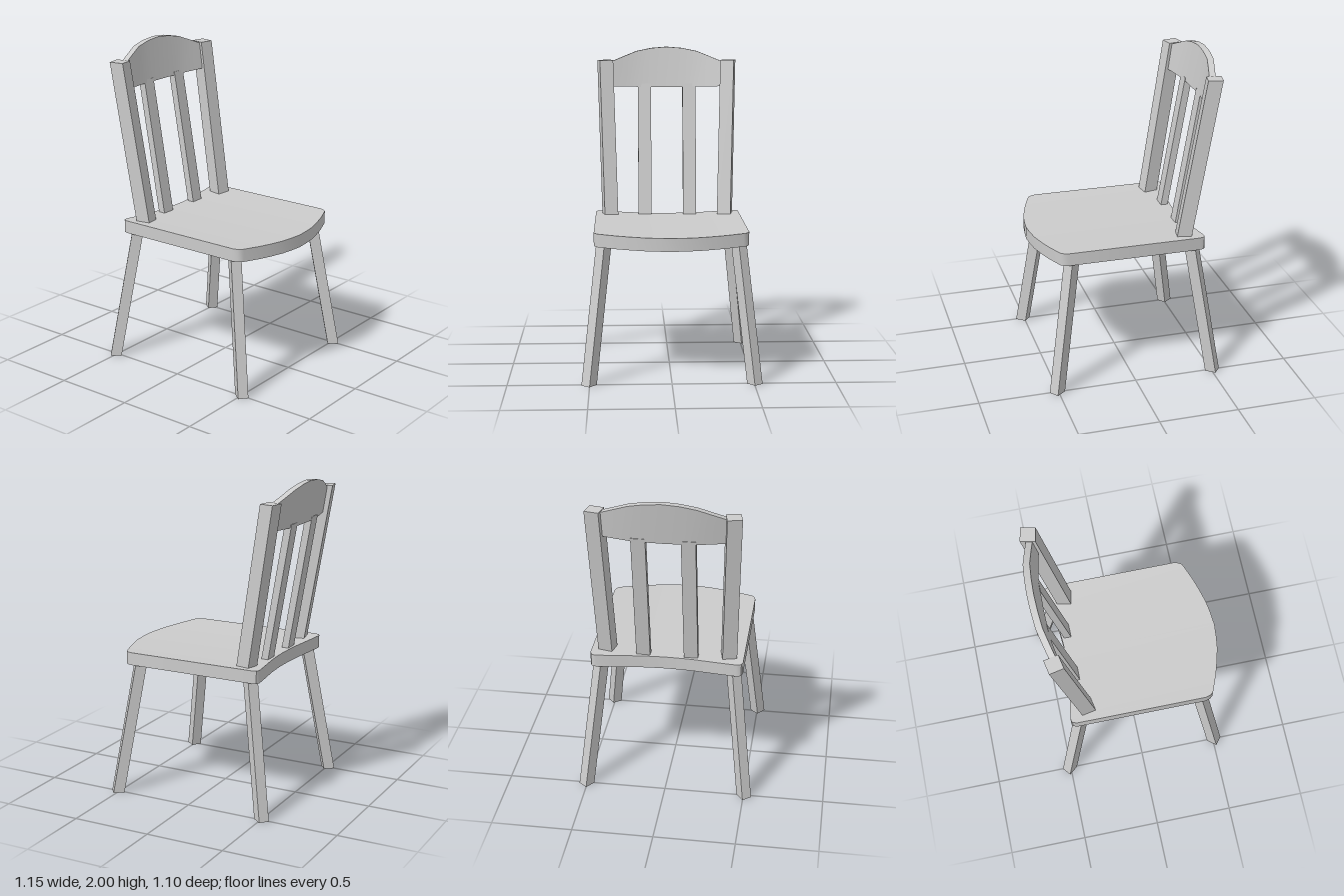
import * as THREE from 'three';
import { toCreasedNormals } from 'three/addons/utils/BufferGeometryUtils.js';

const material = new THREE.MeshStandardMaterial({ color: 0xcccccc });

// Solid skinned over four-cornered cross-sections, closed at both ends
function loft(name, sections) {
  const last = sections.length - 1;
  const tris = [];
  const quad = (a, b, c, d) => tris.push([a, b, c], [a, c, d]);
  quad(...sections[0]);
  quad(...[...sections[last]].reverse());
  for (let i = 0; i < last; i++) {
    for (let k = 0; k < 4; k++) {
      const n = (k + 1) % 4;
      quad(sections[i][n], sections[i][k], sections[i + 1][k], sections[i + 1][n]);
    }
  }
  // Turn the faces outward if the sections ran the other way (mirrored parts)
  const v = (p) => new THREE.Vector3(...p);
  const volume = tris.reduce((s, [a, b, c]) => s + v(a).dot(v(b).cross(v(c))), 0);
  if (volume < 0) tris.forEach((t) => t.reverse());

  const geometry = new THREE.BufferGeometry();
  geometry.setAttribute('position', new THREE.Float32BufferAttribute(tris.flat(2), 3));
  const mesh = new THREE.Mesh(toCreasedNormals(geometry, 0.5), material);
  mesh.name = name;
  return mesh;
}

// Straight bar with a horizontal four-cornered footprint moved from bottom to top
function bar(name, footprint, y0, y1, dx, dz, sx = 1, sz = 1) {
  const ring = (y, t) => footprint.map(([x, z]) => [sx * (x + dx * t), y, sz * (z + dz * t)]);
  return loft(name, [ring(y0, 0), ring(y1, 1)]);
}

// Mirror half a list of [z, ...] stations to run from -z to +z
const mirrorStations = (half) => [
  ...half.filter(([z]) => z > 0).reverse().map(([z, ...rest]) => [-z, ...rest]),
  ...half,
];

export function createModel() {
  const chair = new THREE.Group();
  chair.name = 'chair';

  // Seat: bowed front, hollow back edge, slight sag across the width [z, back, front]
  const seat = mirrorStations([
    [0, -0.402, 0.572], [0.08, -0.405, 0.565], [0.16, -0.411, 0.554], [0.25, -0.424, 0.53],
    [0.33, -0.437, 0.505], [0.43, -0.453, 0.466], [0.447, -0.452, 0.458],
    [0.461, -0.445, 0.44], [0.47, -0.418, 0.41],
  ]);
  chair.add(loft('seat', seat.map(([z, back, front]) => {
    const y = 0.91 + 0.011 * (z / 0.47) ** 2;
    return [[back, y, z], [front, y, z], [front, y - 0.08, z], [back, y - 0.08, z]];
  })));

  // Splayed legs, turned toward the corners
  const foot = [[0.515, 0.55], [0.555, 0.5], [0.5, 0.457], [0.46, 0.507]];
  for (const sx of [1, -1]) {
    for (const sz of [1, -1]) {
      const name = (sx > 0 ? 'front' : 'back') + 'Leg';
      chair.add(bar(name, foot, 0, 0.86, -0.128, -0.095, sx, sz));
    }
  }

  // Leaning back posts and slats
  const post = [[-0.285, 0.41], [-0.302, 0.323], [-0.39, 0.341], [-0.373, 0.428]];
  const slat = [[-0.343, 0.19], [-0.343, 0.104], [-0.388, 0.104], [-0.388, 0.19]];
  for (const sz of [1, -1]) {
    chair.add(bar('backPost', post, 0.905, 1.915, -0.166, 0.029, 1, sz));
    chair.add(bar('backSlat', slat, 0.895, 1.76, -0.15, 0, 1, sz));
  }

  // Curved, arched top rail [z, front x at the lower edge, top height]
  const rail = mirrorStations([
    [0, -0.495, 2], [0.1, -0.493, 1.992], [0.2, -0.488, 1.972],
    [0.29, -0.472, 1.936], [0.375, -0.455, 1.902],
  ]);
  chair.add(loft('topRail', rail.map(([z, x, top]) => {
    const low = 1.738 + 0.05 * z * z;
    const lean = -0.16 * (top - low);
    return [[x, low, z], [x + lean, top, z], [x + lean - 0.04, top, z], [x - 0.04, low, z]];
  })));

  return chair;
}
